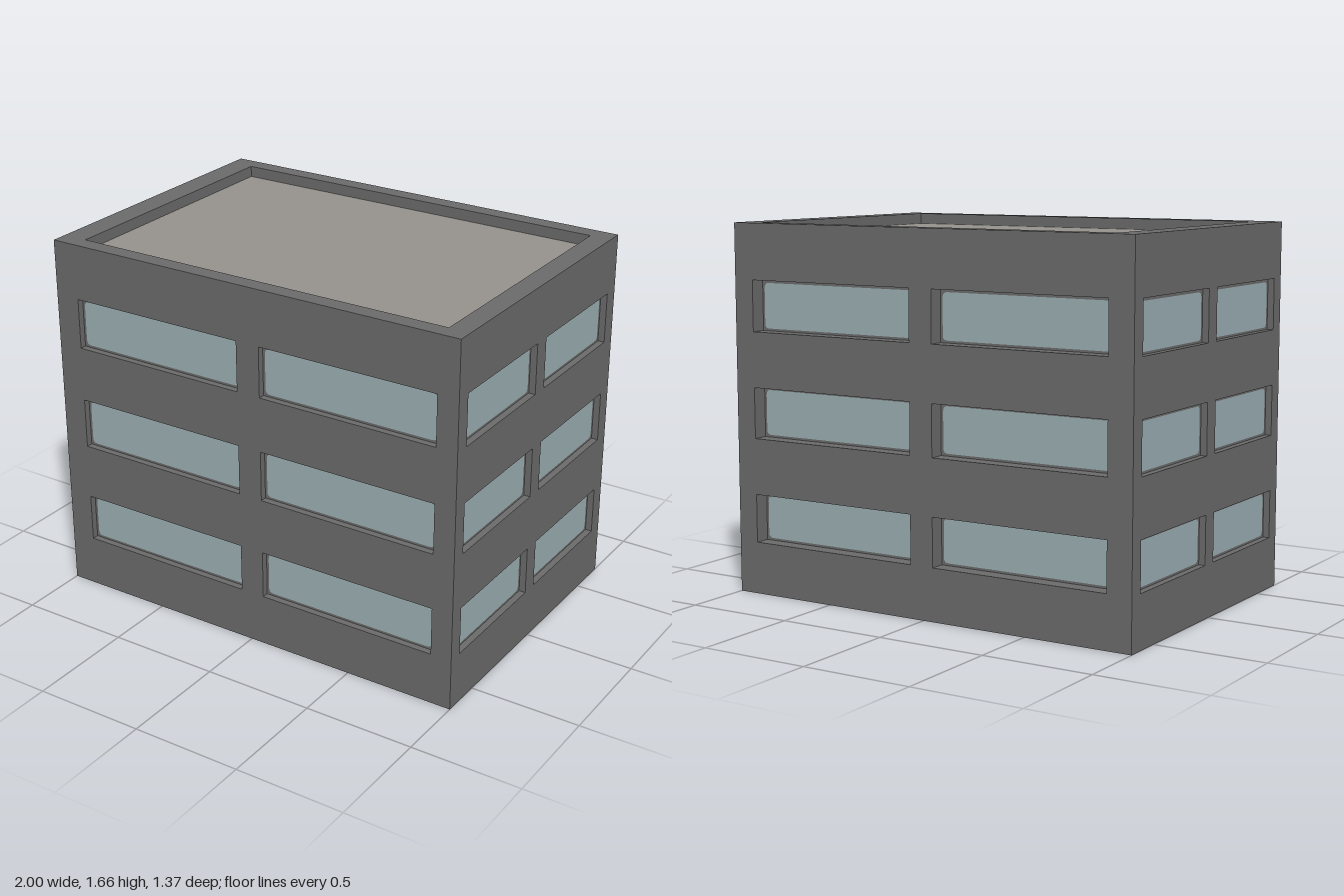
import * as THREE from 'three';

const make = (name, color) => {
  const m = new THREE.MeshStandardMaterial({ color, side: THREE.DoubleSide });
  m.name = name;
  return m;
};

const H = 1.66, HALF_X = 1, HALF_Z = 0.687, ROOF_Y = 1.61;
const ROWS = [[0.235, 0.452], [0.705, 0.933], [1.182, 1.41]];
const LONG = [[-0.885, -0.048], [0.065, 0.903]];
const SHORT = [[-0.617, -0.04], [0.037, 0.615]];
const flip = spans => spans.map(([a, b]) => [-b, -a]);

// Rectangle outline with optional rounded corners
function rect(x0, y0, x1, y1, r = 0, Type = THREE.Shape) {
  const s = new Type();
  if (!r) {
    s.moveTo(x0, y0).lineTo(x1, y0).lineTo(x1, y1).lineTo(x0, y1).closePath();
    return s;
  }
  s.moveTo(x0 + r, y0).lineTo(x1 - r, y0).quadraticCurveTo(x1, y0, x1, y0 + r);
  s.lineTo(x1, y1 - r).quadraticCurveTo(x1, y1, x1 - r, y1);
  s.lineTo(x0 + r, y1).quadraticCurveTo(x0, y1, x0, y1 - r);
  s.lineTo(x0, y0 + r).quadraticCurveTo(x0, y0, x0 + r, y0);
  return s;
}

// Inward facing band round a rectangle, from z = 0 back to z = -depth
function reveal(x0, y0, x1, y1, depth) {
  const c = [[x0, y0], [x1, y0], [x1, y1], [x0, y1]], pos = [];
  c.forEach(([ax, ay], i) => {
    const [bx, by] = c[(i + 1) % 4];
    pos.push(ax, ay, 0, bx, by, 0, bx, by, -depth);
    pos.push(ax, ay, 0, bx, by, -depth, ax, ay, -depth);
  });
  const g = new THREE.BufferGeometry();
  g.setAttribute('position', new THREE.Float32BufferAttribute(pos, 3));
  g.computeVertexNormals();
  return g;
}

export function createModel() {
  const concrete = make('concrete', 0x6b6b6b);
  const roofing = make('roofing', 0x96938d);
  const glass = make('glass', 0x9bafb3);
  const model = new THREE.Group();
  model.name = 'building';

  const add = (parent, name, geometry, material) => {
    const mesh = new THREE.Mesh(geometry, material);
    mesh.name = name;
    parent.add(mesh);
    return mesh;
  };

  // One facade: a sheet wall with recessed windows, facing +z before turning
  function facade(name, halfWidth, spans, depth, turn, distance) {
    const side = new THREE.Group();
    side.name = name;
    const wall = rect(-halfWidth, 0, halfWidth, H);
    for (const [y0, y1] of ROWS) {
      for (const [x0, x1] of spans) {
        wall.holes.push(rect(x0, y0, x1, y1, 0, THREE.Path));
        add(side, 'windowReveal', reveal(x0, y0, x1, y1, depth), concrete);
        // Narrow frame round a soft-cornered pane
        const inner = [x0 + 0.011, y0 + 0.01, x1 - 0.013, y1 - 0.016, 0.022];
        const frame = rect(x0, y0, x1, y1);
        frame.holes.push(rect(...inner, THREE.Path));
        add(side, 'windowFrame', new THREE.ShapeGeometry(frame, 4), concrete).position.z = -depth;
        add(side, 'windowPane', new THREE.ShapeGeometry(rect(...inner), 4), glass).position.z = -depth;
      }
    }
    add(side, 'wall', new THREE.ShapeGeometry(wall), concrete);
    side.rotation.y = turn;
    side.position.set(Math.sin(turn) * distance, 0, Math.cos(turn) * distance);
    model.add(side);
  }
  facade('frontFacade', HALF_X, LONG, 0.03, 0, HALF_Z);
  facade('backFacade', HALF_X, flip(LONG), 0.07, Math.PI, HALF_Z);
  facade('leftFacade', HALF_Z, SHORT, 0.03, Math.PI / 2, HALF_X);
  facade('rightFacade', HALF_Z, flip(SHORT), 0.03, -Math.PI / 2, HALF_X);

  // Parapet top, its inner faces and the sunken roof, laid flat from the xy plane
  const top = new THREE.Group();
  top.name = 'roofTop';
  const opening = [-0.887, -0.612, 0.904, 0.612];
  const rim = rect(-HALF_X, -HALF_Z, HALF_X, HALF_Z);
  rim.holes.push(rect(...opening, 0, THREE.Path));
  add(top, 'parapetRim', new THREE.ShapeGeometry(rim), concrete);
  add(top, 'parapetInside', reveal(...opening, H - ROOF_Y), concrete);
  add(top, 'roof', new THREE.ShapeGeometry(rect(...opening)), roofing).position.z = ROOF_Y - H;
  top.rotation.x = -Math.PI / 2;
  top.position.y = H;
  model.add(top);

  return model;
}
